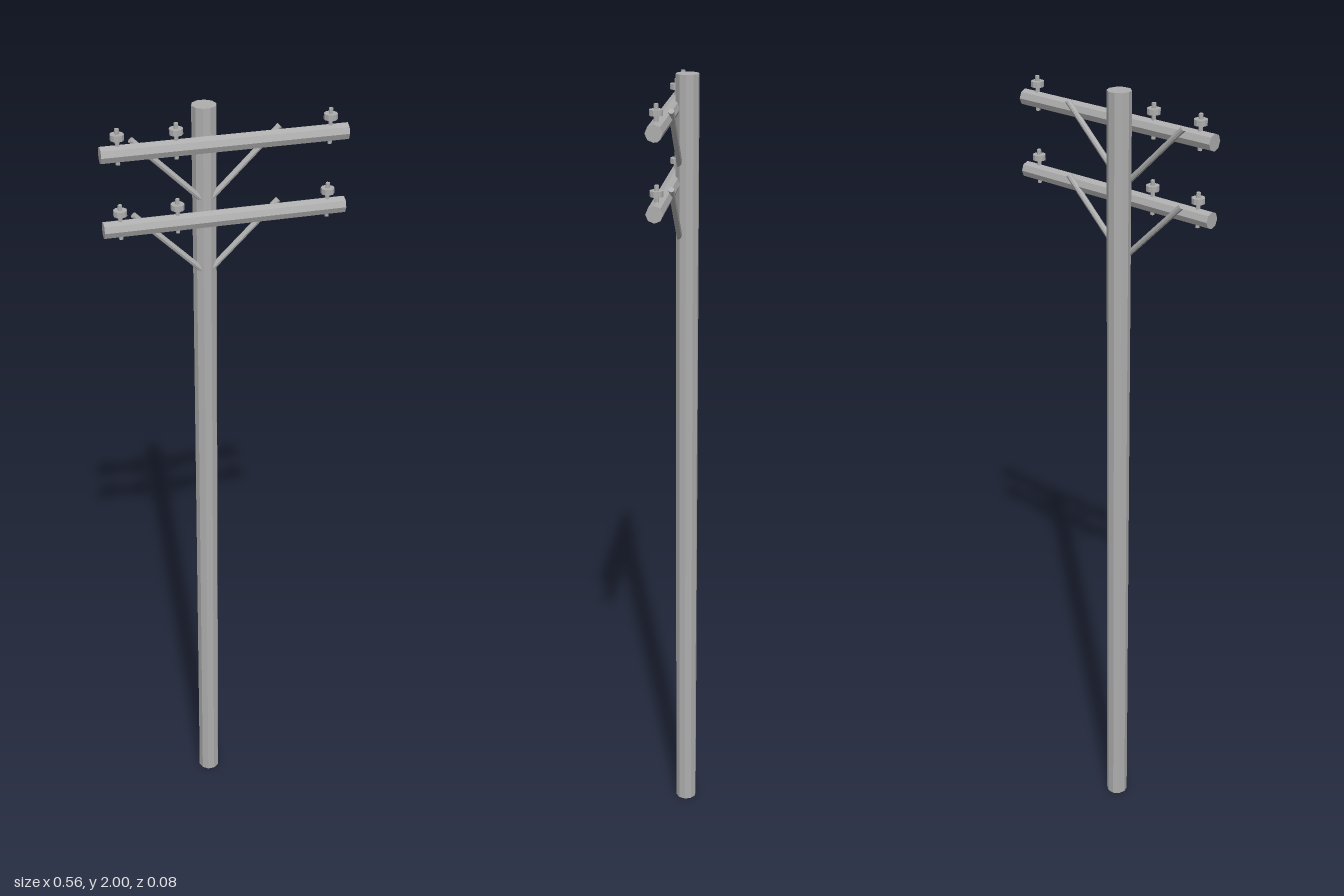
import * as THREE from 'three';

const POLE_X = -0.04;
const material = new THREE.MeshStandardMaterial({ color: 0xaeaeae, flatShading: true });

// Faceted cylinder running between two points
function rod(name, from, to, radius, sides, twist = 0) {
  const a = new THREE.Vector3(...from), b = new THREE.Vector3(...to);
  const dir = b.clone().sub(a);
  const geo = new THREE.CylinderGeometry(radius, radius, dir.length(), sides);
  geo.rotateY(twist);
  const mesh = new THREE.Mesh(geo, material);
  mesh.name = name;
  mesh.position.copy(a).add(b).multiplyScalar(0.5);
  mesh.quaternion.setFromUnitVectors(new THREE.Vector3(0, 1, 0), dir.normalize());
  return mesh;
}

// Pin through the crossarm carrying a small disc
function insulator(x, y, z) {
  const group = new THREE.Group();
  group.name = 'insulator';
  group.add(
    rod('insulatorPin', [x, y - 0.025, z], [x, y + 0.056, z], 0.005, 8),
    rod('insulatorDisc', [x, y + 0.031, z], [x, y + 0.044, z], 0.0155, 10),
  );
  return group;
}

// Crossarm with its braces and insulators
function crossarm(name, y) {
  const group = new THREE.Group();
  group.name = name;
  const z = 0.02;
  group.add(rod('arm', [-0.278, y, z], [0.278, y, z], 0.0195, 8));
  for (const x of [-0.239, -0.11, 0.238]) group.add(insulator(x, y, z));
  for (const side of [-1, 1]) {
    group.add(rod(side > 0 ? 'leftBrace' : 'rightBrace',
      [POLE_X + side * 0.003, y - 0.14, 0.002],
      [POLE_X + side * 0.167, y + 0.021, 0.002], 0.007, 8));
  }
  return group;
}

export function createModel() {
  const model = new THREE.Group();
  model.name = 'utilityPole';
  model.add(rod('pole', [POLE_X, 0, -0.0145], [POLE_X, 2, -0.0145], 0.028, 10, Math.PI / 2));
  model.add(crossarm('upperCrossarm', 1.922), crossarm('lowerCrossarm', 1.748));
  return model;
}
